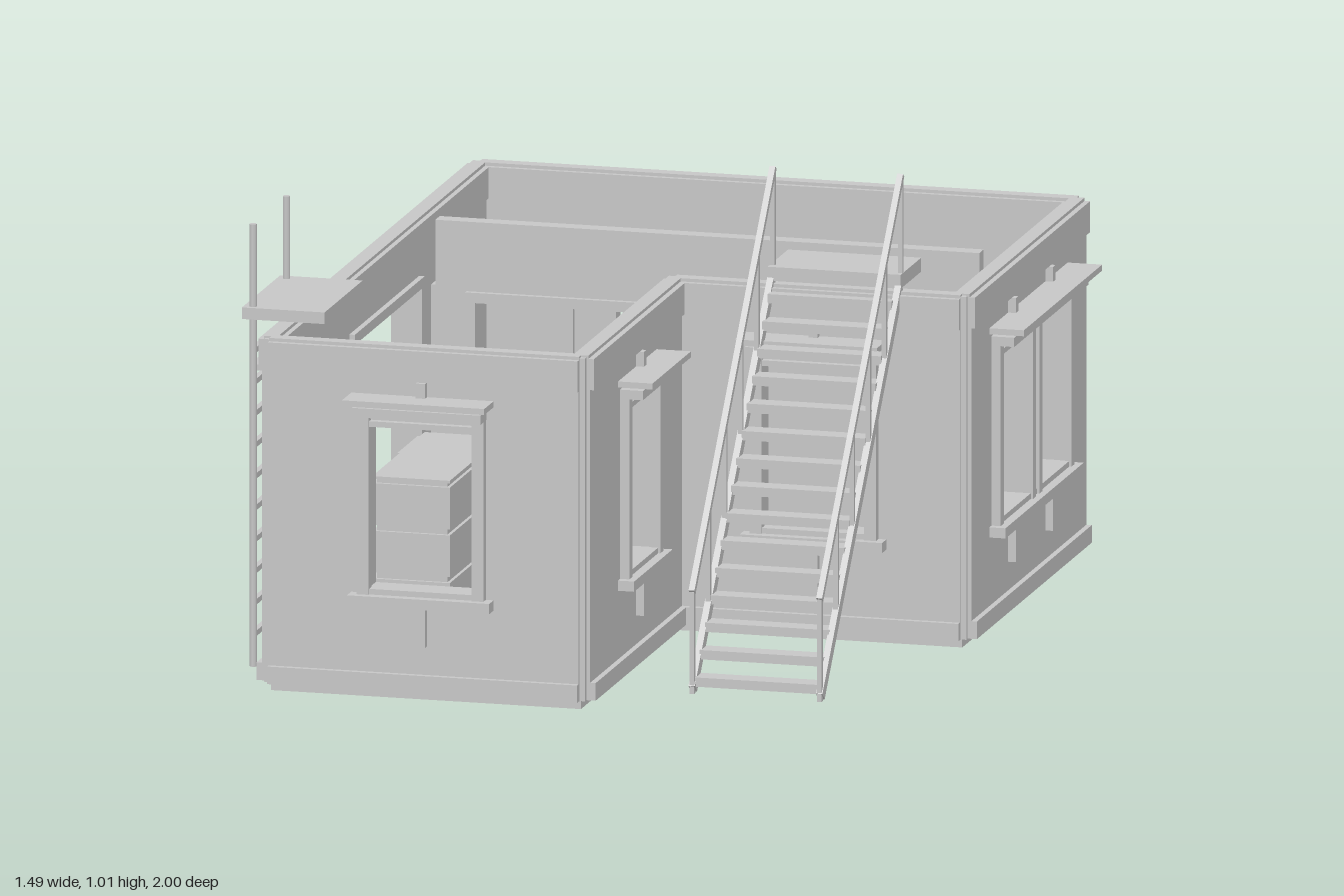
import * as THREE from 'three';

const plaster = new THREE.MeshStandardMaterial({ color: 0xc6c6c6 });
plaster.name = 'light grey';

function mesh(parent, name, geo) {
  const m = new THREE.Mesh(geo, plaster);
  m.name = name;
  parent.add(m);
  return m;
}

// box given by its limits on each axis
function box(parent, name, x0, x1, y0, y1, z0, z1) {
  const m = mesh(parent, name, new THREE.BoxGeometry(x1 - x0, y1 - y0, z1 - z0));
  m.position.set((x0 + x1) / 2, (y0 + y1) / 2, (z0 + z1) / 2);
  return m;
}

// square bar between two points
function beam(parent, name, a, b, w, h = w) {
  const p = new THREE.Vector3(...a), q = new THREE.Vector3(...b);
  const m = mesh(parent, name, new THREE.BoxGeometry(w, h, p.distanceTo(q)));
  m.position.copy(p).lerp(q, 0.5);
  m.lookAt(q);
  return m;
}

const polygon = (pts) => pts.map(([x, y]) => new THREE.Vector2(x, y));
const rect = (x0, x1, y0, y1) => [[x0, y0], [x1, y0], [x1, y1], [x0, y1]];

// upright slab with holes, from depth z0 to z1
function panel(parent, name, outline, holes, z0, z1) {
  const shape = new THREE.Shape(polygon(outline));
  for (const h of holes) shape.holes.push(new THREE.Path(polygon(h)));
  const geo = new THREE.ExtrudeGeometry(shape, { depth: z1 - z0, bevelEnabled: false });
  geo.translate(0, 0, z0);
  return mesh(parent, name, geo);
}

// frame border around an opening
function frame(parent, name, u0, u1, y0, y1, w, z0, z1) {
  return panel(parent, name, rect(u0 - w, u1 + w, y0 - w, y1 + w), [rect(u0, u1, y0, y1)], z0, z1);
}

// window surround: casing, double head shelf, sill and small brackets
function windowTrim(parent, c, span = 0, brackets = [c]) {
  const g = new THREE.Group();
  g.name = 'windowTrim';
  parent.add(g);
  const h = 0.12 + span / 2;
  frame(g, 'windowCasing', c - h + 0.005, c + h - 0.005, 0.24, 0.59, 0.012, -0.03, 0.035);
  for (const s of [-1, 1]) {
    const u = c + s * (h + 0.005);
    box(g, 'windowJamb', u - 0.013, u + 0.013, 0.225, 0.62, 0.015, 0.04);
  }
  box(g, 'windowHead', c - h - 0.02, c + h + 0.02, 0.617, 0.637, 0, 0.07);
  box(g, 'windowShelf', c - h - 0.035, c + h + 0.035, 0.645, 0.658, 0, 0.095);
  box(g, 'windowSill', c - h - 0.035, c + h + 0.035, 0.206, 0.228, 0, 0.055);
  for (const b of brackets) {
    box(g, 'sillBracket', b - 0.01, b + 0.01, 0.12, 0.206, 0.015, 0.037);
    box(g, 'headBracket', b - 0.01, b + 0.01, 0.637, 0.69, 0.015, 0.037);
  }
}

// wall with proud bands at top and bottom; local +z faces outdoors
function wall(parent, name, pos, angle, u0, u1, holes) {
  const g = new THREE.Group();
  g.name = name;
  g.position.set(pos[0], 0, pos[1]);
  g.rotation.y = angle;
  parent.add(g);
  panel(g, 'wallPanel', rect(u0, u1, 0.02, 0.75), holes, -0.018, 0.02);
  box(g, 'topBand', u0, u1, 0.69, 0.757, -0.025, 0.028);
  box(g, 'capStrip', u0, u1, 0.755, 0.764, -0.014, 0.016);
  box(g, 'skirting', u0, u1, 0.02, 0.058, -0.025, 0.032);
  return g;
}

const windowHole = (c) => rect(c - 0.12, c + 0.12, 0.24, 0.59);

function stairs(parent) {
  const g = new THREE.Group();
  g.name = 'stairs';
  parent.add(g);
  const steps = 15, z0 = 0.78, z1 = 0.15, y0 = 0.03, y1 = 0.775;
  for (let i = 0; i < steps; i++) {
    const t = (i + 0.3) / steps, z = z0 + (z1 - z0) * t, y = y0 + (y1 - y0) * t;
    box(g, 'tread', 0.24, 0.51, y - 0.01, y + 0.01, z - 0.026, z + 0.019);
  }
  for (const x of [0.236, 0.514]) {
    beam(g, 'stringer', [x, 0.03, 0.785], [x, 0.77, 0.15], 0.014, 0.024);
    beam(g, 'handrail', [x, 0.24, 0.79], [x, 1.01, 0.138], 0.013);
    for (let i = 0; i < 6; i++) {
      const t = i / 5, z = 0.788 - 0.65 * t;
      beam(g, 'railPost', [x, 0.02 + 0.75 * t, z], [x, 0.24 + 0.77 * t, z], 0.01);
    }
  }
  box(g, 'stairLanding', 0.23, 0.52, 0.77, 0.8, -0.005, 0.16);
}

function ladder(parent) {
  const g = new THREE.Group();
  g.name = 'ladder';
  parent.add(g);
  for (const z of [0.515, 0.783]) {
    const m = mesh(g, 'ladderPole', new THREE.CylinderGeometry(0.008, 0.008, 0.955, 8));
    m.position.set(-0.722, 0.4975, z);
  }
  for (let y = 0.09; y < 0.74; y += 0.068)
    box(g, 'rung', -0.728, -0.716, y - 0.006, y + 0.006, 0.515, 0.783);
  box(g, 'ladderPlatform', -0.742, -0.562, 0.772, 0.797, 0.493, 0.8);
}

function furniture(parent) {
  // chest of drawers
  const chest = new THREE.Group();
  chest.name = 'chestOfDrawers';
  parent.add(chest);
  box(chest, 'chestBody', -0.457, -0.303, 0.02, 0.44, 0.36, 0.767);
  for (let i = 0; i < 4; i++) {
    const y = 0.03 + i * 0.103;
    box(chest, 'drawer', -0.465, -0.296, y, y + 0.09, 0.352, 0.775);
  }
  box(chest, 'chestTop', -0.465, -0.296, 0.438, 0.444, 0.352, 0.775);
  // low cabinet beside the side opening
  box(parent, 'cabinet', -0.62, -0.555, 0.02, 0.31, -0.165, 0);
  // desk under the rear opening
  const desk = new THREE.Group();
  desk.name = 'desk';
  parent.add(desk);
  box(desk, 'deskTop', -0.257, 0.035, 0.205, 0.222, -0.745, -0.61);
  for (const x of [-0.25, 0.015])
    for (const z of [-0.74, -0.63])
      box(desk, 'deskLeg', x, x + 0.014, 0.02, 0.205, z, z + 0.014);
  for (let i = 0; i < 3; i++)
    box(desk, 'deskDrawer', -0.235, -0.14, 0.03 + i * 0.058, 0.08 + i * 0.058, -0.735, -0.615);
  box(desk, 'deskBook', -0.21, -0.1, 0.222, 0.24, -0.715, -0.685);
  box(desk, 'deskScreen', -0.21, -0.1, 0.222, 0.3, -0.662, -0.65);
}

export function createModel() {
  const model = new THREE.Group();
  model.name = 'house';

  // floor slab, shaped like the walls' plan
  const plan = [[-0.65, -0.905], [0.025, -0.905], [0.025, -0.145], [0.65, -0.145], [0.65, 0.78], [-0.65, 0.78]];
  panel(model, 'floor', plan, [], 0, 0.025).rotation.x = -Math.PI / 2;

  const half = Math.PI / 2;
  const front = wall(model, 'frontWall', [0, 0.905], 0, -0.65, 0.025, [windowHole(-0.315)]);
  windowTrim(front, -0.315);

  const wing = wall(model, 'wingWall', [0.025, 0], half, -0.905, -0.145, [windowHole(-0.525)]);
  windowTrim(wing, -0.525);

  const middle = wall(model, 'middleWall', [0, 0.145], 0, 0.025, 0.65, [windowHole(0.335)]);
  windowTrim(middle, 0.335);

  // right wall with a double window and its central mullion
  const right = wall(model, 'rightWall', [0.65, 0], half, -0.145, 0.78,
    [rect(0.035, 0.285, 0.24, 0.59), rect(0.345, 0.595, 0.24, 0.59)]);
  windowTrim(right, 0.315, 0.32, [0.16, 0.46]);
  for (const u of [0.29, 0.34]) box(right, 'mullion', u - 0.012, u + 0.012, 0.228, 0.617, -0.03, 0.04);

  // rear wall: garden opening that runs into the two side windows
  const rear = wall(model, 'rearWall', [0, -0.78], Math.PI, -0.65, 0.65,
    [[[-0.43, 0.24], [-0.28, 0.24], [-0.28, 0.06], [0.28, 0.06], [0.28, 0.24], [0.35, 0.24],
      [0.35, 0.53], [-0.21, 0.53], [-0.21, 0.59], [-0.43, 0.59]]]);
  for (const c of [-0.325, 0.325]) windowTrim(rear, c);
  box(rear, 'openingHead', -0.28, 0.29, 0.59, 0.62, -0.035, 0.03);

  // left wall: two windows and a wide side opening
  const left = wall(model, 'leftWall', [-0.65, 0], -half, -0.78, 0.905,
    [windowHole(-0.445), rect(-0.2, 0.32, 0.06, 0.62), windowHole(0.57)]);
  for (const c of [-0.445, 0.57]) windowTrim(left, c);
  frame(left, 'sideOpeningFrame', -0.2, 0.32, 0.06, 0.62, 0.022, -0.03, 0.038);

  // corner posts
  for (const [x, z] of [[-0.65, 0.905], [0.025, 0.905], [0.025, 0.145], [0.65, 0.145], [0.65, -0.78], [-0.65, -0.78]])
    box(model, 'cornerPost', x - 0.012, x + 0.012, 0.02, 0.76, z - 0.012, z + 0.012);

  // inner partition with a framed wide opening
  const partition = new THREE.Group();
  partition.name = 'partition';
  partition.position.z = -0.232;
  model.add(partition);
  panel(partition, 'partitionPanel', rect(-0.595, 0.59, 0.025, 0.767), [rect(-0.505, 0.075, 0.045, 0.595)], -0.018, 0.018);
  frame(partition, 'partitionFrame', -0.505, 0.075, 0.045, 0.595, 0.022, -0.03, 0.03);

  // rear porch
  box(model, 'porchRoof', -0.3, 0.3, 0.68, 0.708, -1, -0.8);
  for (const s of [-1, 1])
    box(model, 'porchPost', s * 0.276 - 0.014, s * 0.276 + 0.014, 0.02, 0.68, -0.97, -0.942);

  stairs(model);
  ladder(model);
  furniture(model);
  return model;
}
